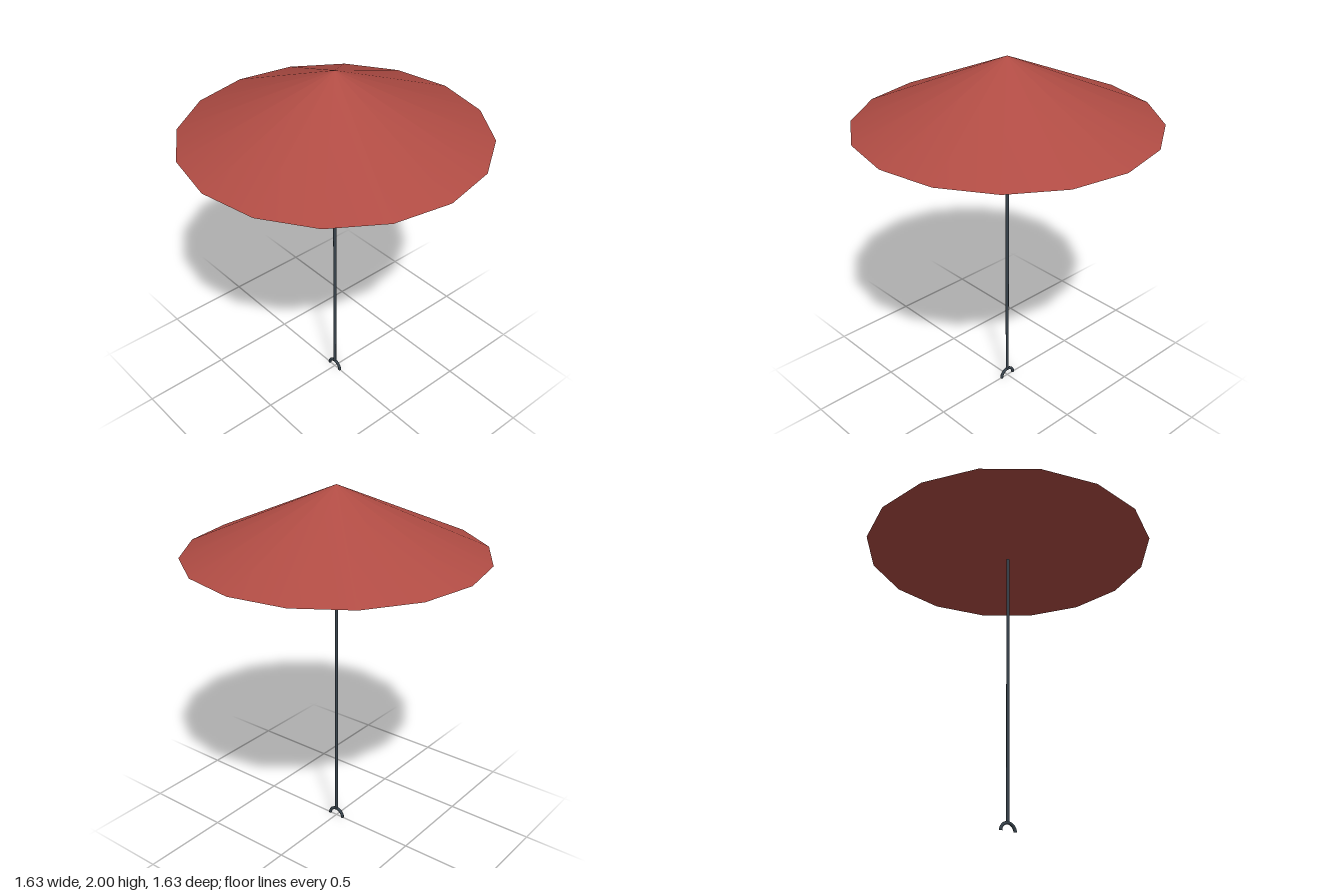
import * as THREE from 'three';

export function createModel() {
  const model = new THREE.Group();
  const red = new THREE.MeshStandardMaterial({ name: 'brick red', color: 0xb04c44 });
  const slate = new THREE.MeshStandardMaterial({ name: 'dark slate', color: 0x37424b });

  const add = (name, geometry, material, y) => {
    const mesh = new THREE.Mesh(geometry, material);
    mesh.name = name;
    mesh.position.y = y;
    model.add(mesh);
  };

  // Wide sixteen-sided canopy with a closed underside
  add('canopy', new THREE.ConeGeometry(0.815, 0.36, 16), red, 1.82);

  // Slim pole, its top just below the canopy
  add('pole', new THREE.CylinderGeometry(0.009, 0.009, 1.54, 12), slate, 0.82);

  // Half-ring handle at the foot, opening downwards
  add('handle', new THREE.TorusGeometry(0.045, 0.009, 8, 16, Math.PI), slate, 0);

  return model;
}
